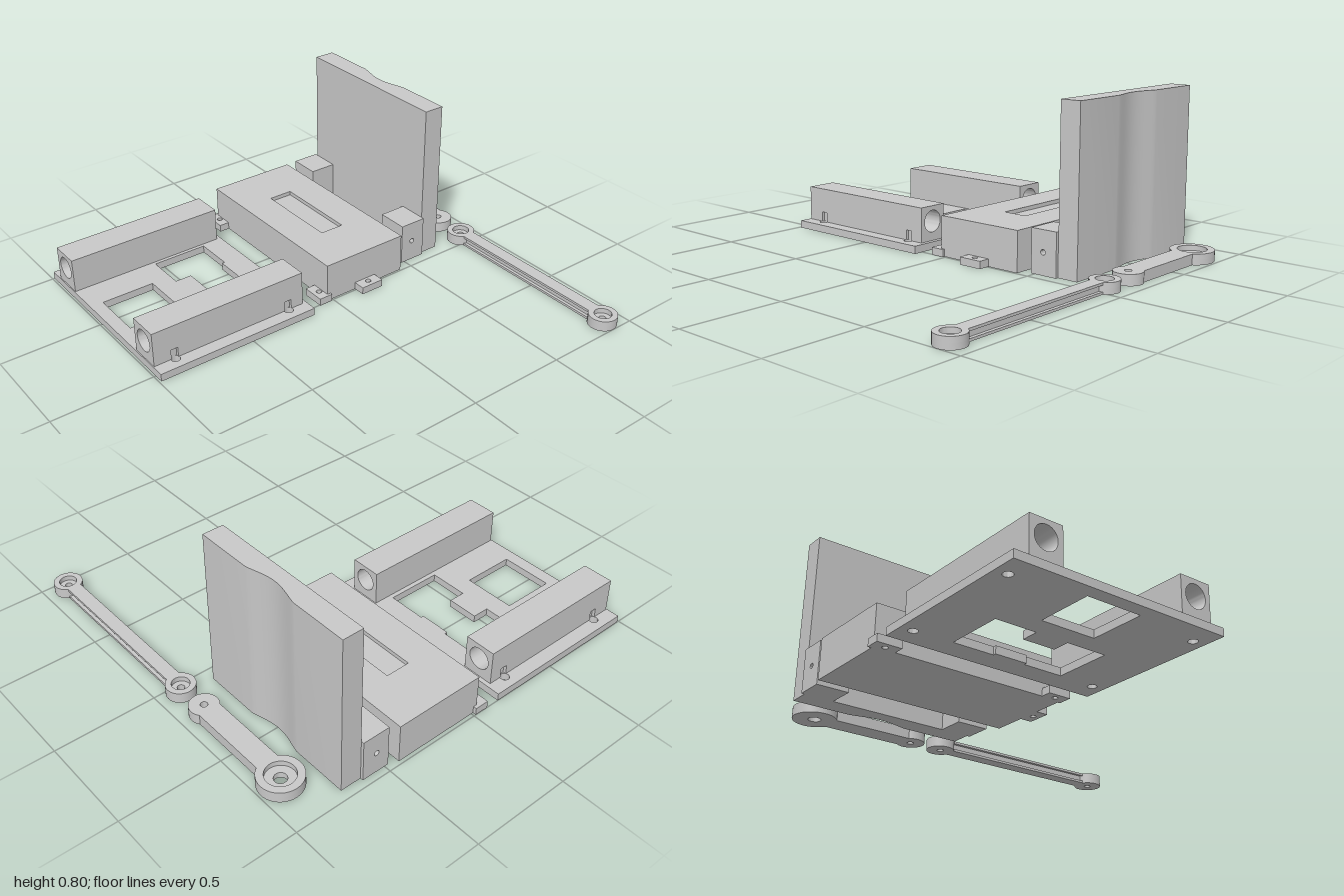
import * as THREE from 'three';
import { toCreasedNormals } from 'three/addons/utils/BufferGeometryUtils.js';

const rect = (a0, b0, a1, b1) => [[a0, b0], [a1, b0], [a1, b1], [a0, b1]];
const points = (list) => list.map(([a, b]) => new THREE.Vector2(a, b));
const poly = (list) => new THREE.Shape(points(list));

function hole(shape, a, b, r) {
  shape.holes.push(new THREE.Path().absarc(a, b, r, 0, Math.PI * 2, true));
  return shape;
}

function disc(a, b, r) {
  return new THREE.Shape().absarc(a, b, r, 0, Math.PI * 2, false);
}

export function createModel() {
  const model = new THREE.Group();
  const grey = new THREE.MeshStandardMaterial({ color: 0xc9c9c9 });
  grey.name = 'light grey plastic';

  const group = (name) => {
    const g = new THREE.Group();
    g.name = name;
    model.add(g);
    return g;
  };
  const add = (parent, name, geometry) => {
    const mesh = new THREE.Mesh(toCreasedNormals(geometry, 0.5), grey);
    mesh.name = name;
    parent.add(mesh);
  };
  const extrude = (shape, depth) =>
    new THREE.ExtrudeGeometry(shape, { depth, bevelEnabled: false, curveSegments: 20 });
  // Outline in (x, z), raised from y0 to y1
  const alongY = (shape, y0, y1) => extrude(shape, y1 - y0).rotateX(Math.PI / 2).translate(0, y1, 0);
  // Outline in (x, y), running from z0 to z1
  const alongZ = (shape, z0, z1) => extrude(shape, z1 - z0).translate(0, 0, z0);
  // Outline in (-z, y), running from x0 to x1
  const alongX = (shape, x0, x1) => extrude(shape, x1 - x0).rotateY(Math.PI / 2).translate(x0, 0, 0);

  // Base plate with two windows and four screw holes
  const base = group('baseFrame');
  const plate = poly(rect(-1, 0.15, 0.05, 0.99));
  plate.holes.push(new THREE.Path(points([
    [-0.755, 0.265], [-0.555, 0.265], [-0.555, 0.28], [-0.395, 0.28], [-0.395, 0.265],
    [-0.198, 0.265], [-0.198, 0.55], [-0.395, 0.55], [-0.395, 0.465], [-0.555, 0.465],
    [-0.555, 0.55], [-0.755, 0.55],
  ])));
  plate.holes.push(new THREE.Path(points(rect(-0.608, 0.652, -0.342, 0.924))));
  for (const x of [-0.94, -0.012]) for (const z of [0.256, 0.878]) hole(plate, x, z, 0.022);
  add(base, 'basePlate', alongY(plate, 0, 0.038));

  // Two bored rails, each with a thin outer wall notched over the screw holes
  const z0 = 0.172, z1 = 0.985, top = 0.212;
  const notched = [[-z1, 0.038]];
  for (const z of [0.878, 0.256]) {
    notched.push([-z - 0.018, 0.038], [-z - 0.018, 0.088], [-z + 0.018, 0.088], [-z + 0.018, 0.038]);
  }
  notched.push([-z0, 0.038], [-z0, top], [-z1, top]);
  for (const [name, left, right, side] of [['rightRail', -0.93, -0.773, -1], ['leftRail', -0.175, -0.017, 1]]) {
    const mid = (left + right) / 2;
    const inner = side < 0 ? left + 0.016 : left;
    const outer = side < 0 ? right : right - 0.016;
    for (const [a, b, r] of [[z0, 0.37, 0.055], [0.37, 0.78, 0.032], [0.78, z1, 0.055]]) {
      add(base, name, alongZ(hole(poly(rect(inner, 0.038, outer, top)), mid, 0.135, r), a, b));
    }
    const wall = side < 0 ? [left, inner] : [outer, right];
    add(base, name + 'Wall', alongX(poly(notched), ...wall));
  }

  // Housing with a shallow slot in its top and three screw tabs
  const housing = group('housing');
  const outline = () => poly(rect(-0.983, -0.435, -0.008, 0.029));
  const slotted = outline();
  slotted.holes.push(new THREE.Path(points(rect(-0.72, -0.265, -0.273, -0.14))));
  add(housing, 'housingBody', alongY(outline(), 0, 0.178));
  add(housing, 'housingTop', alongY(slotted, 0.178, 0.198));
  for (const [xa, za, xb, zb, hx, hz] of [
    [-0.008, -0.265, 0.053, -0.142, 0.018, -0.204],
    [-1, 0.029, -0.88, 0.082, -0.94, 0.046],
    [-0.112, 0.029, 0.005, 0.082, -0.053, 0.046],
  ]) add(housing, 'screwTab', alongY(hole(poly(rect(xa, za, xb, zb)), hx, hz, 0.014), 0, 0.037));
  // Tab corners that reach past the housing's sides
  for (const [xa, xb] of [[-1, -0.983], [-0.008, 0.005]]) {
    add(housing, 'tabCorner', alongY(poly(rect(xa, 0.01, xb, 0.029)), 0, 0.037));
  }

  // Tall back panel with a shallow, softly blended hollow down its rear
  const stand = group('backStand');
  const panel = [[-0.95, -0.62], [-0.95, -0.725], [-0.665, -0.725]];
  for (let i = 1; i < 24; i++) {
    const t = i / 24;
    panel.push([-0.665 + 0.31 * t, -0.725 + 0.03 * Math.sin(Math.PI * t) ** 1.3]);
  }
  panel.push([-0.355, -0.725], [-0.067, -0.725], [-0.067, -0.62]);
  add(stand, 'backPanel', alongY(poly(panel), 0, 0.8));
  // Hinge blocks with a blind hole in the outer side of each
  const block = () => poly(rect(0.48, 0, 0.62, top));
  const drilled = hole(block(), 0.546, 0.108, 0.013);
  for (const [solid, bored] of [[[-0.865, -0.805], [-0.965, -0.865]], [[-0.213, -0.152], [-0.152, -0.052]]]) {
    add(stand, 'hingeBlock', alongX(block(), ...solid));
    add(stand, 'hingeBlockOuter', alongX(drilled, ...bored));
  }

  // Link arms: ring ends joined by a bar
  const zArm = -0.885, high = 0.053;
  const ring = (parent, x, r, r1, r2) => {
    add(parent, 'ringEnd', alongY(hole(disc(x, zArm, r), x, zArm, r2), 0, r1 ? 0.028 : high));
    if (r1) add(parent, 'ringRim', alongY(hole(disc(x, zArm, r), x, zArm, r1), 0.028, high));
  };
  // Bar outline with rounded cut-outs that end inside the ring walls
  const bar = (xa, ra, xb, rb, h) => {
    const s = new THREE.Shape();
    const a = Math.asin(h / ra), b = Math.asin(h / rb);
    s.absarc(xa, zArm, ra, -a, a, false);
    s.absarc(xb, zArm, rb, Math.PI - b, Math.PI + b, false);
    return s;
  };
  const crank = group('crankArm');
  ring(crank, -0.757, 0.105, 0.07, 0.03);
  ring(crank, -0.225, 0.07, 0, 0.017);
  add(crank, 'crankBar', alongY(bar(-0.757, 0.095, -0.225, 0.062, 0.055), 0, high));

  // Long link with grooved sides
  const link = group('linkRod');
  for (const x of [-0.047, 0.93]) ring(link, x, 0.07, 0.042, 0.017);
  for (const [h, a, b] of [[0.034, 0, 0.012], [0.018, 0.012, 0.041], [0.034, 0.041, high]]) {
    add(link, 'linkBar', alongY(bar(-0.047, 0.06, 0.93, 0.06, h), a, b));
  }

  return model;
}
